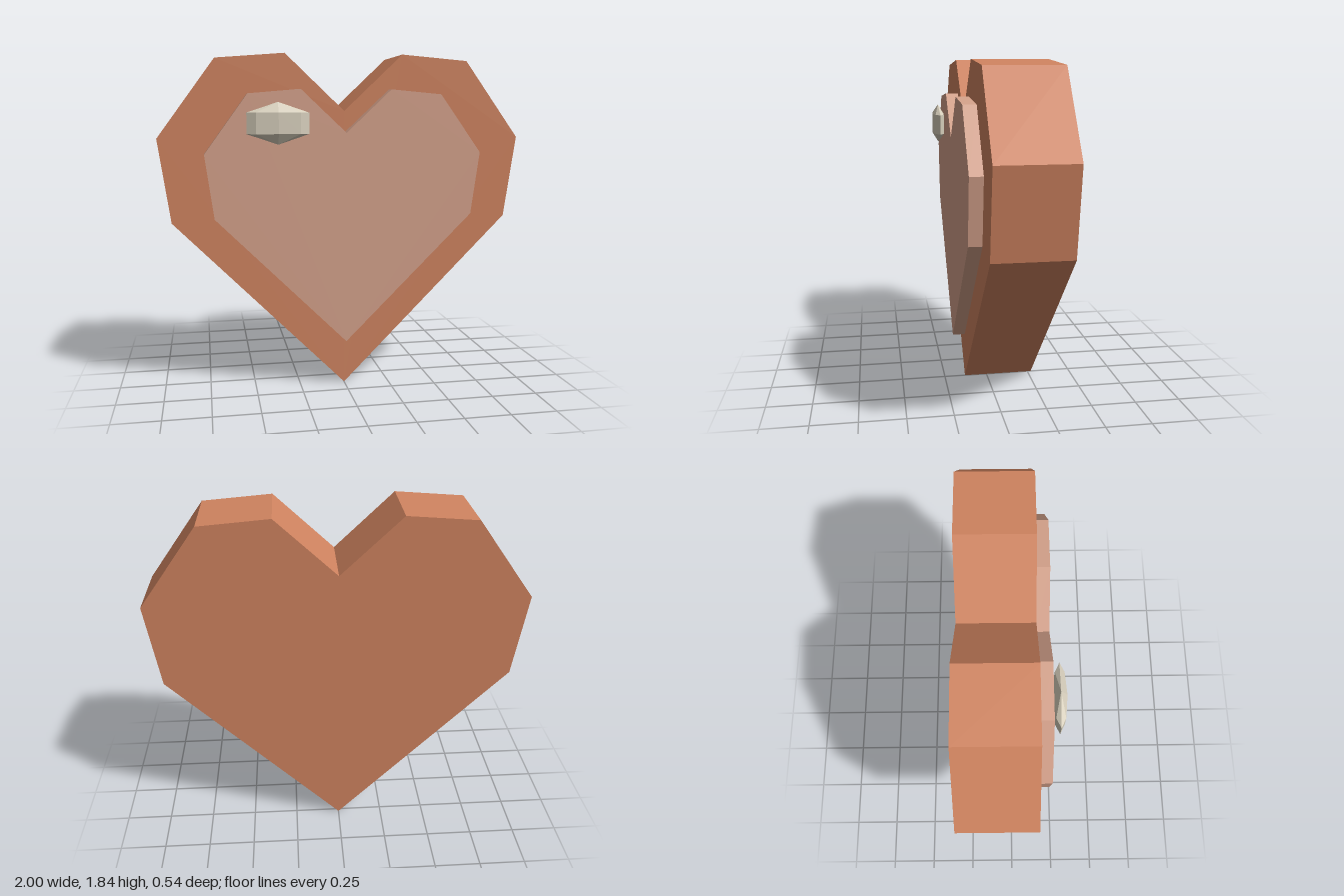
import * as THREE from 'three';

const flat = (name, color) => {
  const m = new THREE.MeshStandardMaterial({ color, flatShading: true });
  m.name = name;
  return m;
};

// Extruded heart: right-hand outline from bottom tip to top notch, mirrored to the left
function heart(name, half, z0, z1, material) {
  const left = half.slice(1, -1).reverse().map(([x, y]) => [-x, y]);
  const shape = new THREE.Shape([...half, ...left].map(([x, y]) => new THREE.Vector2(x, y)));
  const geometry = new THREE.ExtrudeGeometry(shape, { depth: z1 - z0, bevelEnabled: false });
  geometry.translate(0, 0, z0);
  const mesh = new THREE.Mesh(geometry, material);
  mesh.name = name;
  return mesh;
}

export function createModel() {
  const group = new THREE.Group();
  group.name = 'heart';
  const terracotta = flat('terracotta', 0xd08460);
  const paleClay = flat('pale clay', 0xd5a28b);
  const ivory = flat('ivory', 0xd6cebb);

  // Thick heart body
  group.add(heart('heartBody',
    [[0, 0], [0.935, 0.94], [1, 1.39], [0.692, 1.81], [0.323, 1.84], [0, 1.535]],
    -0.27, 0.13, terracotta));

  // Raised panel on the front
  group.add(heart('frontPanel',
    [[0, 0.26], [0.71, 0.965], [0.757, 1.308], [0.527, 1.625], [0.247, 1.65], [0, 1.418]],
    0.13, 0.2, paleClay));

  // Faceted highlight floating just ahead of the panel
  const highlight = new THREE.Mesh(new THREE.SphereGeometry(1, 8, 3), ivory);
  highlight.name = 'highlight';
  highlight.scale.set(0.19, 0.111, 0.039);
  highlight.position.set(-0.372, 1.47, 0.237);
  group.add(highlight);

  return group;
}
